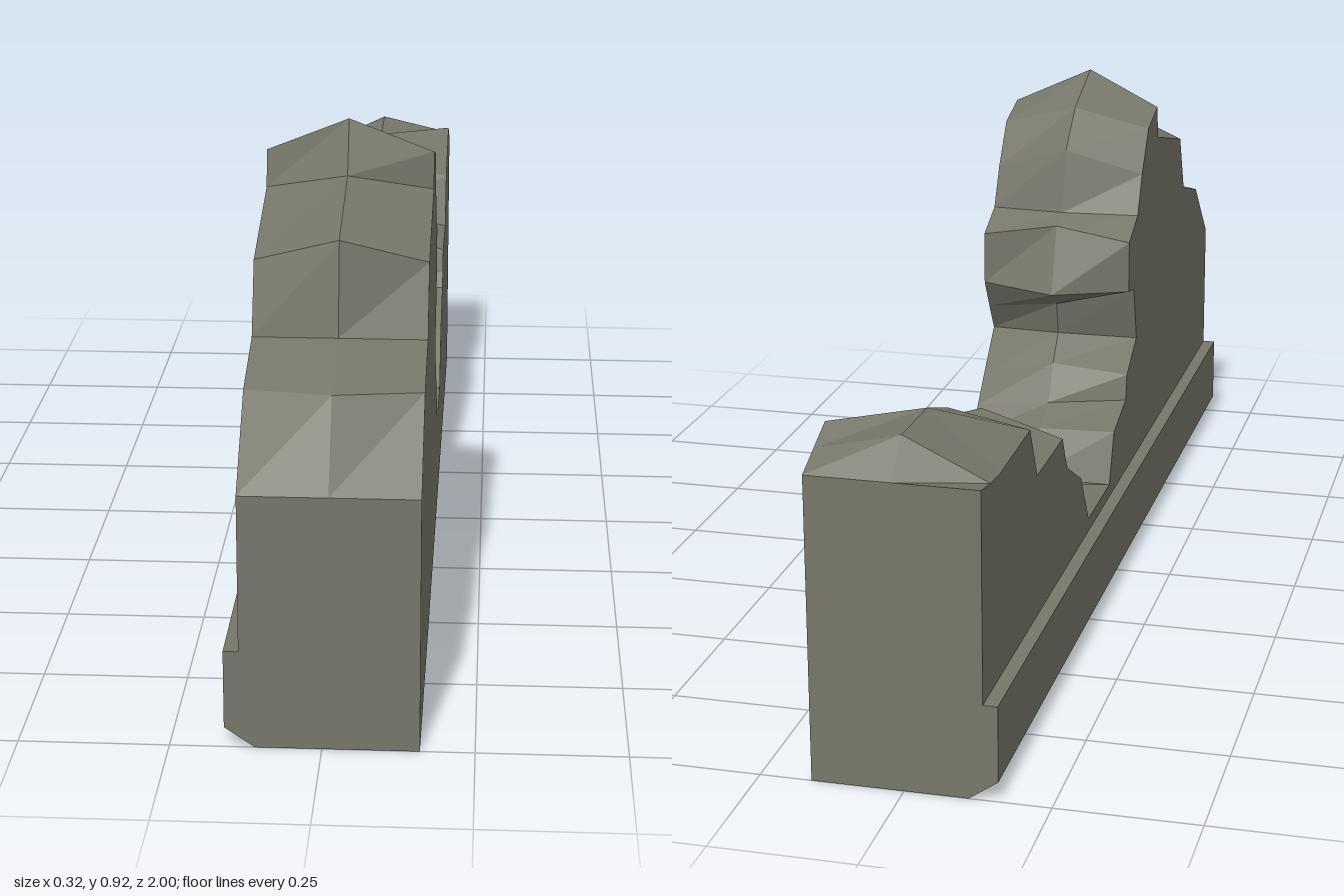
import * as THREE from 'three';

const stone = new THREE.MeshStandardMaterial({ color: 0x77766a, flatShading: true });
stone.name = 'weathered stone';

const LEFT = -0.135, MID = 0.012, RIGHT = 0.16, PLINTH = 0.17;

// Broken top edge as [z, y], front to back: +x face, middle ridge, -x face
const rightEdge = [
  [1, 0.44], [0.86, 0.57], [0.71, 0.61], [0.66, 0.73], [0.41, 0.79], [0.4, 0.855], [0.31, 0.83],
  [0.25, 0.75], [0.21, 0.675], [0.13, 0.64], [0.13, 0.54], [0.165, 0.48], [0.2, 0.425], [0.12, 0.35],
  [0.07, 0.3], [0.02, 0.25], [-0.04, 0.195], [-0.225, 0.195], [-0.29, 0.3], [-0.4, 0.36],
  [-0.42, 0.39], [-0.44, 0.43], [-0.63, 0.43], [-0.68, 0.53], [-0.88, 0.59], [-0.94, 0.565], [-1, 0.54],
];
const ridge = [
  [1, 0.44], [0.91, 0.58], [0.74, 0.62], [0.71, 0.78], [0.48, 0.83], [0.43, 0.92], [0.29, 0.87],
  [0.21, 0.8], [0.18, 0.68], [0.13, 0.665], [0.085, 0.535], [0.13, 0.505], [0.145, 0.44], [0.1, 0.39],
  [0.06, 0.32], [-0.01, 0.29], [-0.09, 0.215], [-0.21, 0.245], [-0.26, 0.325], [-0.37, 0.35],
  [-0.385, 0.42], [-0.45, 0.48], [-0.6, 0.47], [-0.67, 0.555], [-0.79, 0.595], [-0.94, 0.6], [-1, 0.54],
];
// The -x edge follows the +x edge except where it broke differently
const leftEdge = rightEdge.map((p) => [...p]);
Object.assign(leftEdge, {
  11: [0.18, 0.53], 12: [0.21, 0.42], 13: [0.12, 0.37], 14: [0.11, 0.32], 15: [0, 0.29],
  24: [-0.88, 0.525], 25: [-0.94, 0.53],
});

function addMesh(group, name, geometry) {
  const mesh = new THREE.Mesh(geometry, stone);
  mesh.name = name;
  group.add(mesh);
}

// Flat-shaded geometry from quads with counter-clockwise corners
function quads(list) {
  const out = [];
  for (const [a, b, c, d] of list) out.push(...a, ...b, ...c, ...a, ...c, ...d);
  const g = new THREE.BufferGeometry();
  g.setAttribute('position', new THREE.Float32BufferAttribute(out, 3));
  g.computeVertexNormals();
  return g;
}

// Flat side of the wall; side is +1 for +x and -1 for -x
function sideFace(edge, x, side) {
  const outline = [...edge, [-1, PLINTH], [1, PLINTH]];
  const shape = new THREE.Shape(outline.map(([z, y]) => new THREE.Vector2(-side * z, y)));
  return new THREE.ShapeGeometry(shape).rotateY(side * Math.PI / 2).translate(x, 0, 0);
}

export function createModel() {
  const group = new THREE.Group();
  group.name = 'ruinedWall';

  // Rough broken top: two strips meeting at the ridge
  const at = (x, [z, y]) => [x, y, z];
  const top = [];
  for (let i = 0; i < ridge.length - 1; i++) {
    const l = at(LEFT, leftEdge[i]), l2 = at(LEFT, leftEdge[i + 1]);
    const m = at(MID, ridge[i]), m2 = at(MID, ridge[i + 1]);
    const r = at(RIGHT, rightEdge[i]), r2 = at(RIGHT, rightEdge[i + 1]);
    top.push([l, m, m2, l2], [r2, m2, m, r]);
  }
  // Right strip is wound the other way round so both split symmetrically
  for (let i = 1; i < top.length; i += 2) top[i] = [top[i][2], top[i][3], top[i][0], top[i][1]];
  addMesh(group, 'brokenTop', quads(top));

  // Wall sides and ends
  addMesh(group, 'rightSide', sideFace(rightEdge, RIGHT, 1));
  addMesh(group, 'leftSide', sideFace(leftEdge, LEFT, -1));
  addMesh(group, 'wallEnds', quads([
    [[LEFT, PLINTH, 1], [RIGHT, PLINTH, 1], [RIGHT, 0.44, 1], [LEFT, 0.44, 1]],
    [[RIGHT, PLINTH, -1], [LEFT, PLINTH, -1], [LEFT, 0.54, -1], [RIGHT, 0.54, -1]],
  ]));

  // Plinth with a ledge and chamfer on the -x side
  const section = new THREE.Shape([
    [-0.11, 0], [RIGHT, 0], [RIGHT, PLINTH], [-0.16, PLINTH], [-0.16, 0.035],
  ].map(([x, y]) => new THREE.Vector2(x, y)));
  addMesh(group, 'plinth',
    new THREE.ExtrudeGeometry(section, { depth: 2, bevelEnabled: false }).translate(0, 0, -1));

  return group;
}
